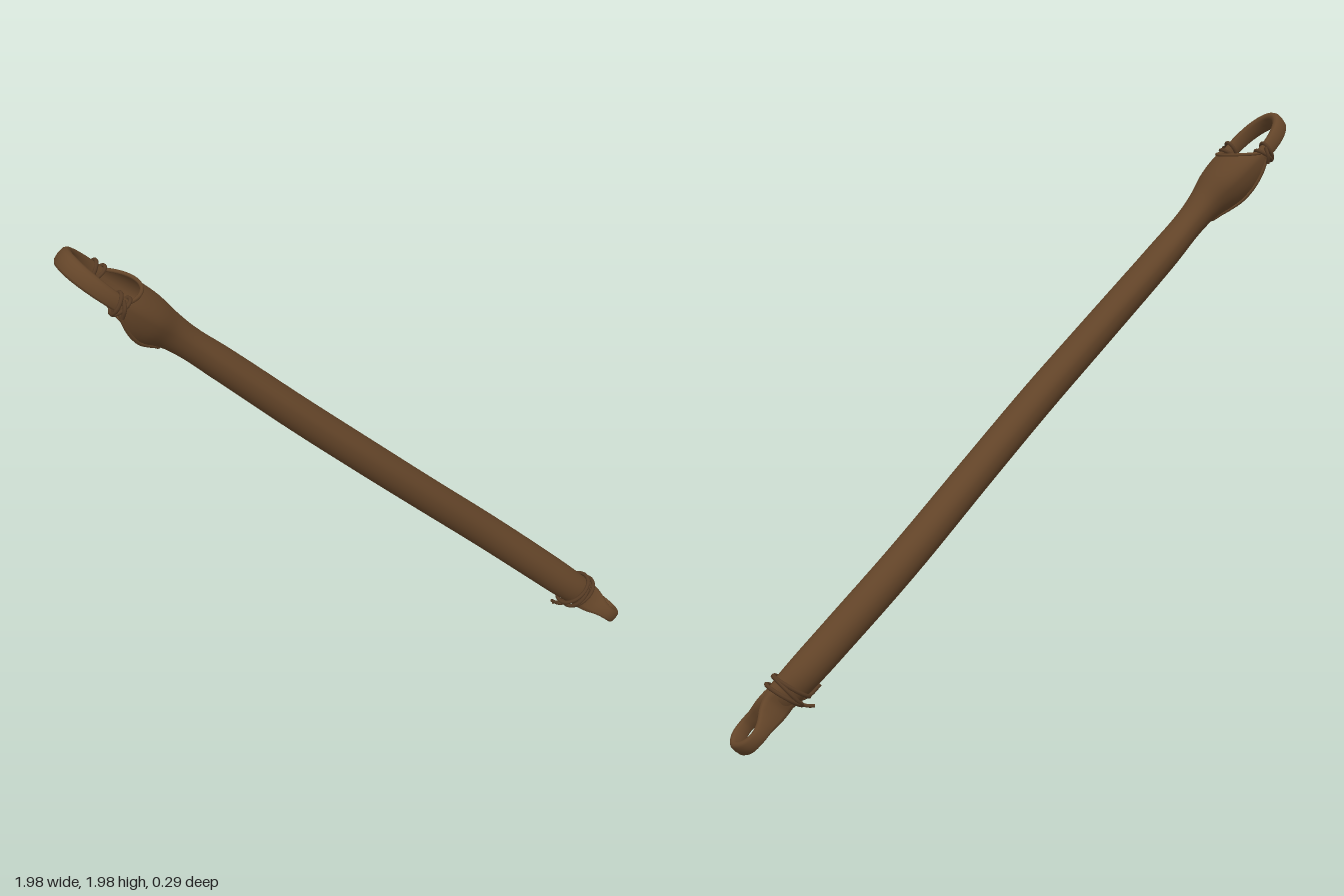
import * as THREE from 'three';

const leather = new THREE.MeshStandardMaterial({ color: 0x644529, side: THREE.DoubleSide });
leather.name = 'brown leather';
const cordColour = new THREE.MeshStandardMaterial({ color: 0x563b24, side: THREE.DoubleSide });
cordColour.name = 'dark cord';

const { lerp } = THREE.MathUtils;
const V = (x, y, z) => new THREE.Vector3(x, y, z);

// Skin of rows of points; each row is a closed ring
function skin(rows, cols, point) {
  const pos = [], idx = [];
  for (let i = 0; i <= rows; i++)
    for (let j = 0; j < cols; j++) pos.push(...point(i, (j / cols) * Math.PI * 2));
  for (let i = 0; i < rows; i++)
    for (let j = 0; j < cols; j++) {
      const k = (j + 1) % cols, a = i * cols + j, b = i * cols + k, c = a + cols, d = b + cols;
      idx.push(a, b, c, b, d, c);
    }
  const g = new THREE.BufferGeometry();
  g.setAttribute('position', new THREE.Float32BufferAttribute(pos, 3));
  g.setIndex(idx);
  g.computeVertexNormals();
  return g;
}

// Local frame: x runs along the sheath (mouth at -x), y is thickness, z is width
// Stations: along, z centre, upper height, lower height, half width
const stations = [
  [-1.22, 0, 0.05, 0.11, 0.118],
  [-1.14, 0, 0.062, 0.118, 0.112],
  [-1.06, 0, 0.062, 0.1, 0.095],
  [-0.98, 0, 0.05, 0.066, 0.064],
  [-0.9, -0.003, 0.042, 0.056, 0.056],
  [-0.75, -0.008, 0.044, 0.058, 0.062],
  [-0.4, 0.002, 0.046, 0.063, 0.064],
  [-0.1, 0.005, 0.05, 0.063, 0.064],
  [0.2, -0.005, 0.052, 0.063, 0.063],
  [0.6, -0.024, 0.056, 0.063, 0.063],
  [0.9, -0.016, 0.058, 0.062, 0.061],
  [1.08, -0.006, 0.057, 0.06, 0.055],
  [1.14, 0, 0.054, 0.056, 0.044],
  [1.19, 0, 0.05, 0.052, 0.022],
  [1.215, 0, 0.04, 0.042, 0.005],
];
const profile = new THREE.CubicInterpolant(
  stations.map((s) => s[0]), stations.flatMap((s) => s.slice(1)), 4, new Float32Array(4));

function bodyPoint(s, a) {
  const [zc, up, low, w] = profile.evaluate(s);
  const c = Math.cos(a);
  return [s, c * (c > 0 ? up : low), zc + w * Math.sin(a)];
}

// Mouth edge: two side arms reach furthest, the underside is cut back
function mouthEdge(a) {
  const c = Math.cos(a);
  return c > 0 ? lerp(-1.22, -1.14, c) : lerp(-1.22, -0.96, Math.pow(-c, 1.4));
}

// Flat strap following [along, z, half height] points, with half thickness t
function strap(points, t) {
  const curve = new THREE.CatmullRomCurve3(points.map((p) => V(...p)));
  const n = 56;
  return skin(n, 12, (i, a) => {
    const p = curve.getPoint(i / n), d = curve.getTangent(i / n);
    const len = Math.hypot(d.x, d.y) || 1, o = Math.cos(a) * t;
    const h = Math.sign(Math.sin(a)) * Math.pow(Math.abs(Math.sin(a)), 0.6) * p.z;
    return [p.x - (d.y / len) * o, h, p.y + (d.x / len) * o];
  });
}

const tube = (pts, r, closed = false) =>
  new THREE.TubeGeometry(new THREE.CatmullRomCurve3(pts, closed), pts.length * 5, r, 7, closed);

// Cord ring around the along axis, leaning by tilt
function wrap(s, y, z, h, w, tilt, r) {
  const pts = [];
  for (let i = 0; i < 12; i++) {
    const a = (i / 12) * Math.PI * 2;
    pts.push(V(s + tilt * Math.cos(a), y + h * Math.cos(a), z + w * Math.sin(a)));
  }
  return tube(pts, r, true);
}

export function createModel() {
  const model = new THREE.Group();
  model.name = 'sheath';
  const add = (name, geometry, material) => {
    const m = new THREE.Mesh(geometry, material);
    m.name = name;
    model.add(m);
  };

  // Long tube that opens into the flared mouth
  const mouthRows = 14, bodyRows = 60;
  add('sheathBody', skin(mouthRows + bodyRows, 36, (i, a) => bodyPoint(
    i < mouthRows ? lerp(mouthEdge(a), -0.9, i / mouthRows)
      : lerp(-0.9, 1.215, (i - mouthRows) / bodyRows), a)), leather);

  // Thick rolled edge around the mouth
  const rim = [];
  for (let i = 0; i < 32; i++) {
    const a = (i / 32) * Math.PI * 2;
    rim.push(V(...bodyPoint(mouthEdge(a), a)));
  }
  add('mouthRim', tube(rim, 0.006, true), leather);

  // Upper carrying loop, arching between the two arms
  const arch = [];
  for (let i = 0; i <= 12; i++) {
    const a = lerp(-0.12, Math.PI + 0.12, i / 12);
    arch.push([-1.215 - 0.152 * Math.sin(a), 0.104 * Math.cos(a), 0.024 + 0.006 * Math.sin(a)]);
  }
  add('upperLoop', strap(arch, 0.017), leather);

  // Lower loop: two leaf-shaped tabs joined by a rounded strap
  const half = [[1.15, 0.02, 0.045], [1.19, 0.014, 0.052], [1.225, 0.026, 0.046],
    [1.265, 0.05, 0.03], [1.3, 0.061, 0.025], [1.34, 0.048, 0.027]];
  const mirrored = half.map(([s, z, h]) => [s, -z, h]).reverse();
  add('lowerLoop', strap([...half, [1.365, 0, 0.028], ...mirrored], 0.014), leather);

  // Cord knots where the upper loop meets the arms
  for (const side of [1, -1]) {
    for (const k of [0, 1])
      add('upperKnot', wrap(-1.205 - 0.018 * k, -0.003, side * 0.108, 0.032, 0.024, 0.008 - 0.016 * k, 0.006), cordColour);
    add('upperKnotTail', tube([V(-1.22, 0.02, side * 0.128), V(-1.205, 0, side * 0.138),
      V(-1.19, -0.025, side * 0.13)], 0.006), cordColour);
  }

  // Cord bound around the lower neck, with loose ends
  for (const [s, tilt] of [[1.115, 0.012], [1.135, -0.006], [1.15, 0.012]])
    add('lowerBinding', wrap(s, -0.002, 0, 0.066, 0.056, tilt, 0.007), cordColour);
  add('cordEnd', tube([V(1.13, -0.062, 0.01), V(1.1, -0.078, 0.012), V(1.055, -0.082, 0.015)], 0.006), cordColour);
  add('cordEnd', tube([V(1.14, -0.062, -0.01), V(1.13, -0.08, -0.02), V(1.115, -0.096, -0.028)], 0.006), cordColour);

  // Lean the whole sheath along the diagonal
  model.rotation.z = -Math.PI / 4;
  model.position.y = 1;
  const root = new THREE.Group();
  root.name = 'leaningSheath';
  root.add(model);
  return root;
}
